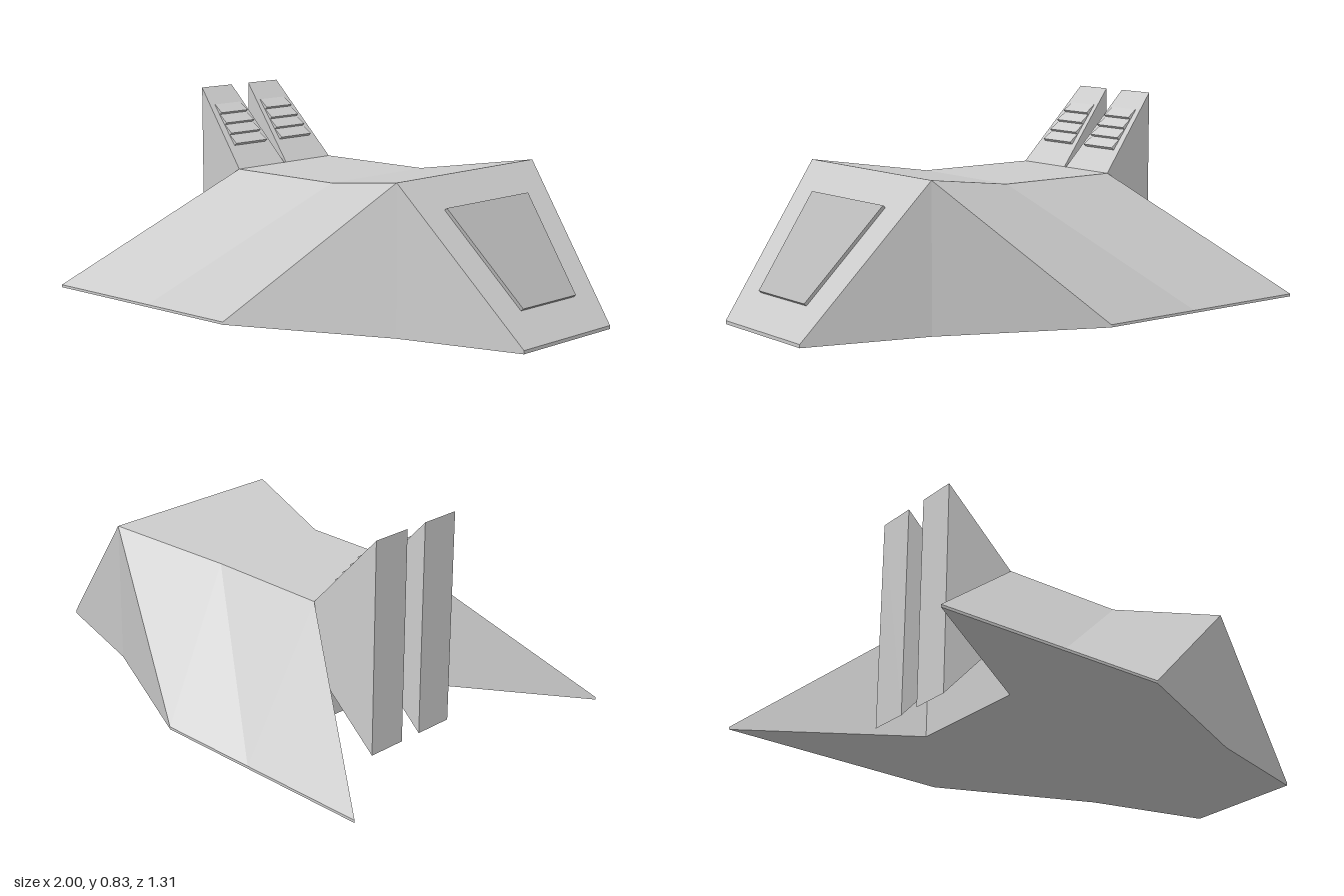
import * as THREE from 'three';

const V = (x, y, z) => new THREE.Vector3(x, y, z);
const flip = (p) => V(p.x, p.y, -p.z);

// Flat-faced solid: every polygon gets one normal, turned away from an inner point
function solid(name, polys, inner, material) {
  const pos = [], nor = [];
  for (const poly of polys) {
    const n = V(0, 0, 0);
    poly.forEach((p, i) => n.add(p.clone().cross(poly[(i + 1) % poly.length])));
    n.normalize();
    const inward = n.dot(poly[0].clone().sub(inner)) < 0;
    const pts = inward ? [poly[0], ...poly.slice(1).reverse()] : poly;
    if (inward) n.negate();
    for (let i = 1; i < pts.length - 1; i++) {
      for (const p of [pts[0], pts[i], pts[i + 1]]) {
        pos.push(p.x, p.y, p.z);
        nor.push(n.x, n.y, n.z);
      }
    }
  }
  const g = new THREE.BufferGeometry();
  g.setAttribute('position', new THREE.Float32BufferAttribute(pos, 3));
  g.setAttribute('normal', new THREE.Float32BufferAttribute(nor, 3));
  const mesh = new THREE.Mesh(g, material);
  mesh.name = name;
  return mesh;
}

// Convex block between two four-cornered sections
function block(name, a, b, material) {
  const inner = V(0, 0, 0);
  [...a, ...b].forEach((p) => inner.addScaledVector(p, 1 / 8));
  const polys = [a, b];
  for (let i = 0; i < 4; i++) {
    const j = (i + 1) % 4;
    polys.push([a[i], a[j], b[j], b[i]]);
  }
  return solid(name, polys, inner, material);
}

export function createModel() {
  const hullGrey = new THREE.MeshStandardMaterial({ color: 0xcccccc });
  hullGrey.name = 'hull grey';
  const windowGrey = new THREE.MeshStandardMaterial({ color: 0xb8b8b8 });
  windowGrey.name = 'window grey';
  const model = new THREE.Group();
  model.name = 'shuttle';

  // Hull corners on the +z half
  const tip = V(-1, 0.06, 0.655), tipLow = V(-1, 0.05, 0.655);
  const mid = V(-0.48, 0.06, 0.655);
  const wing = V(-0.065, 0.06, 0.655), wingLow = V(-0.065, 0.05, 0.655);
  const brow = V(0.535, 0.605, 0.382), browLow = V(0.535, 0.05, 0.382);
  const nose = V(1, 0.063, 0.25), noseLow = V(1, 0.05, 0.25);
  const roof = V(0.095, 0.541, 0.25), rear = V(-0.4, 0.541, 0.25), rearLow = V(-0.4, 0.05, 0.25);

  // Side faces are mirrored, centre faces span both halves
  const side = [
    [rear, roof, mid, tip],
    [roof, brow, wing, mid],
    [tip, mid, wing, wingLow, tipLow],
    [brow, wing, wingLow, browLow],
    [brow, browLow, noseLow, nose],
    [rear, tip, tipLow, rearLow],
    [rearLow, tipLow, wingLow, browLow],
  ];
  const centre = [
    [rear, roof], [roof, brow], [brow, nose], [nose, noseLow],
    [noseLow, browLow], [browLow, rearLow], [rearLow, rear],
  ].map(([p, q]) => [p, q, flip(q), flip(p)]);
  const hull = [...side, ...side.map((f) => f.map(flip)), ...centre];
  model.add(solid('hull', hull, V(0.3, 0.2, 0), hullGrey));

  // Raised windscreen on the nose slope
  const noseNormal = V(0.542, 0.465, 0).normalize();
  const onNose = (y, z, h) =>
    V(0.535 + (0.605 - y) * (0.465 / 0.542), y, z).addScaledVector(noseNormal, h);
  const screen = (h) => [
    onNose(0.5, -0.23, h), onNose(0.5, 0.23, h),
    onNose(0.17, 0.152, h), onNose(0.17, -0.152, h),
  ];
  model.add(block('windscreen', screen(-0.004), screen(0.013), windowGrey));

  // Twin tail fins with louvres on their sloping fronts
  const finNormal = V(0.294, 0.255, 0).normalize();
  for (const s of [1, -1]) {
    const fin = new THREE.Group();
    fin.name = s > 0 ? 'leftFin' : 'rightFin';
    const section = (x, y0, y1, z0, z1) =>
      [V(x, y0, s * z0), V(x, y0, s * z1), V(x, y1, s * z1), V(x, y1, s * z0)];
    fin.add(block('finBody', section(-0.655, 0, 0.835, 0.046, 0.205),
      section(-0.4, 0.29, 0.541, 0.005, 0.249), hullGrey));

    // A louvre edge lies across the slope at height y, raised by h
    const edge = (y, h) => {
      const spread = (0.77 - y) * 0.11;
      return [0.057 - spread, 0.19 + spread].map((z) =>
        V(-0.655 + (0.835 - y) * (0.255 / 0.294), y, s * z).addScaledVector(finNormal, h));
    };
    for (let i = 0; i < 4; i++) {
      const top = 0.77 - i * 0.037, low = top - 0.037;
      const quad = (h0, h1) => {
        const [a, b] = edge(top, h0), [c, d] = edge(low, h1);
        return [a, b, d, c];
      };
      fin.add(block('louvre', quad(-0.004, -0.004), quad(0.002, 0.014), hullGrey));
    }
    model.add(fin);
  }
  return model;
}
